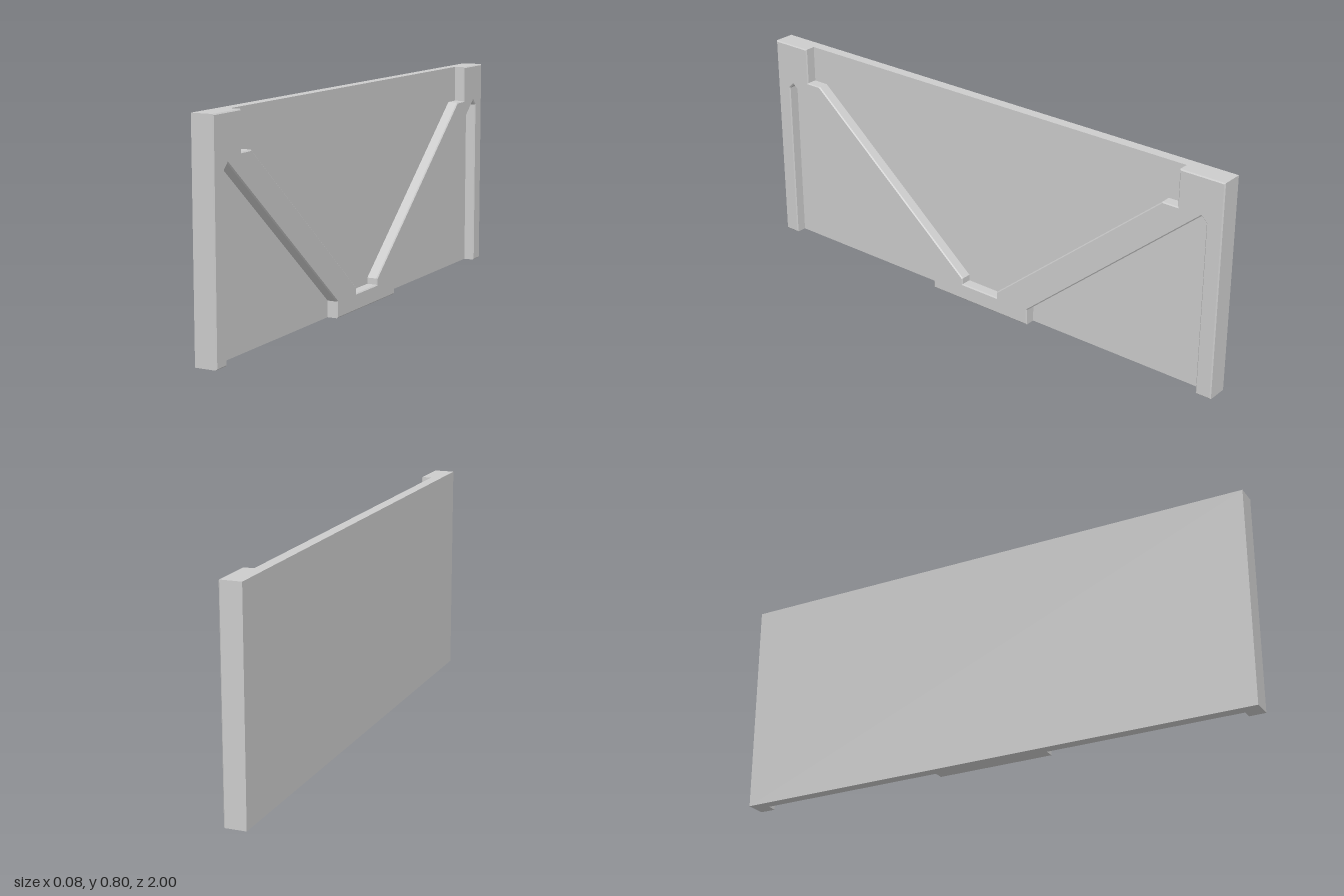
import * as THREE from 'three';

export function createModel() {
  const group = new THREE.Group();
  const material = new THREE.MeshStandardMaterial({ color: 0xcccccc, flatShading: true });

  // Flat backing panel
  const panel = new THREE.Mesh(new THREE.BoxGeometry(0.04, 0.8, 2), material);
  panel.name = 'backPanel';
  panel.position.set(-0.02, 0.4, 0);
  group.add(panel);

  // Raised brace: two end posts joined by diagonals to a central foot
  const outline = [
    [-1, 0], [-0.94, 0], [-0.94, 0.62], [-0.92, 0.64], [-0.22, 0.06], [-0.22, 0],
    [0.22, 0], [0.22, 0.06], [0.92, 0.66], [0.94, 0.64], [0.94, 0], [1, 0],
    [1, 0.8], [0.83, 0.8], [0.83, 0.665], [0.77, 0.665], [0.08, 0.085], [0.08, 0.062],
    [-0.08, 0.062], [-0.08, 0.085], [-0.78, 0.665], [-0.84, 0.665], [-0.84, 0.8], [-1, 0.8],
  ];
  const shape = new THREE.Shape(outline.map(([u, v]) => new THREE.Vector2(u, v)));

  // Small chamfer on the exposed edges; the rear chamfer is sunk into the panel
  const bevel = 0.004;
  const geometry = new THREE.ExtrudeGeometry(shape, {
    depth: 0.04 - bevel,
    bevelEnabled: true,
    bevelSegments: 1,
    bevelSize: bevel,
    bevelThickness: bevel,
    bevelOffset: -bevel,
  });
  geometry.rotateY(Math.PI / 2);
  const brace = new THREE.Mesh(geometry, material);
  brace.name = 'braceFrame';
  group.add(brace);

  return group;
}
